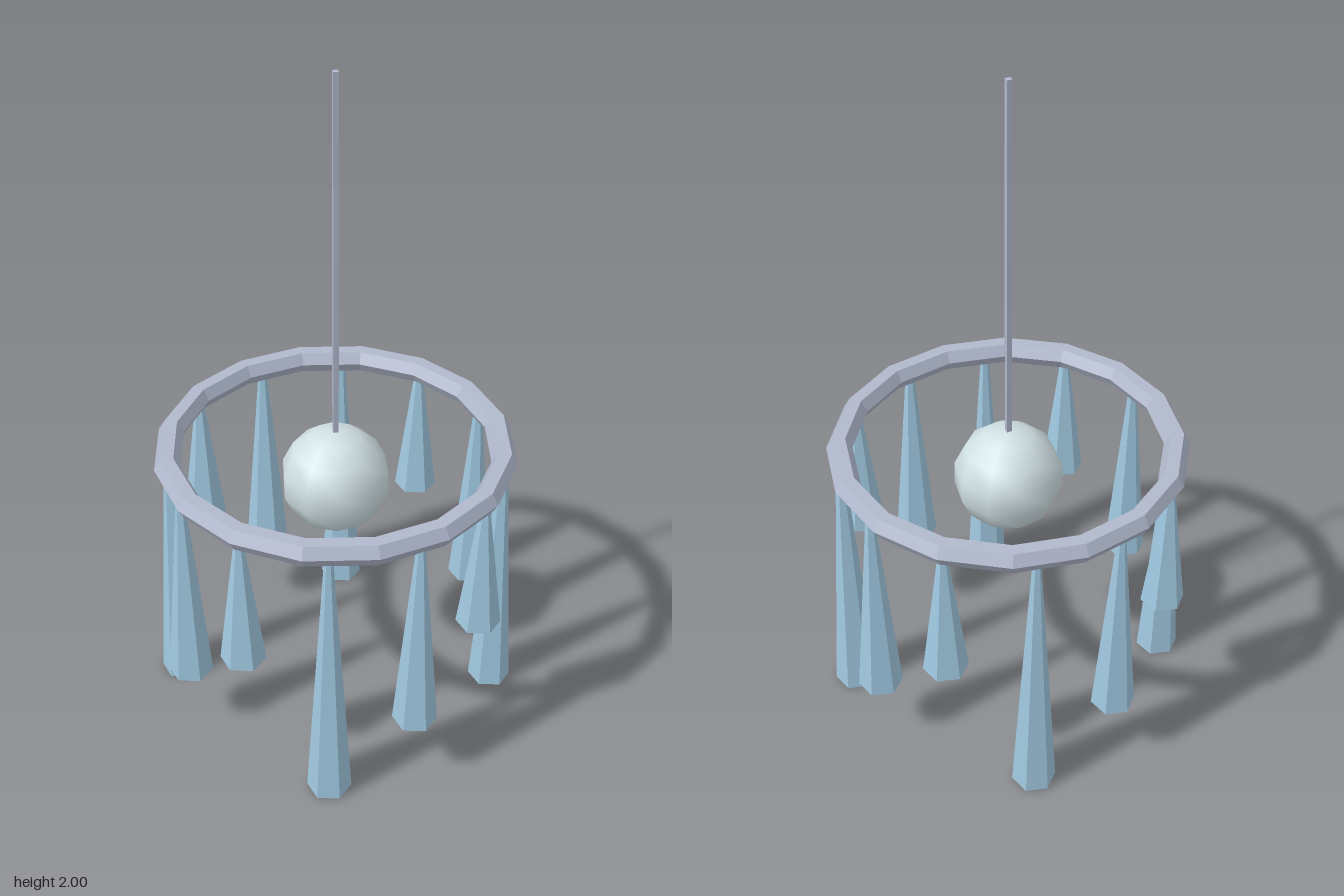
import * as THREE from 'three';

const material = (name, color, flatShading) => {
  const m = new THREE.MeshStandardMaterial({ color, flatShading });
  m.name = name;
  return m;
};

export function createModel() {
  const model = new THREE.Group();
  model.name = 'chandelier';
  const metal = material('brushed metal', 0xb0b8cc, true);
  const glass = material('pale glass', 0xd0e0e4, false);
  const ice = material('ice blue', 0xa0c8e0, true);

  const unit = 2 / 3.7; // overall height scaled to 2
  const ringY = 1.6 * unit;
  const ringRadius = 0.9 * unit;

  const add = (name, geometry, mat, x, y, z, parent = model) => {
    const mesh = new THREE.Mesh(geometry, mat);
    mesh.name = name;
    mesh.position.set(x, y, z);
    parent.add(mesh);
    return mesh;
  };

  // Hanging rod, square in section
  add('rod', new THREE.CylinderGeometry(0.02 * unit, 0.02 * unit, 2 * unit, 4), metal, 0, 2.7 * unit, 0);

  // Hoop with a hexagonal section
  const hoop = new THREE.TorusGeometry(ringRadius, 0.07 * unit, 6, 16).rotateX(Math.PI / 2);
  add('ring', hoop, metal, 0, ringY, 0);

  // Glowing globe
  const globe = new THREE.SphereGeometry(0.3 * unit, 10, 7).rotateY(Math.PI / 2);
  add('globe', globe, glass, 0, 1.4 * unit, 0);

  // Twelve hexagonal drops in three repeating lengths
  const drops = new THREE.Group();
  drops.name = 'drops';
  model.add(drops);
  for (let i = 0; i < 12; i++) {
    const angle = (i / 12) * Math.PI * 2;
    const length = (0.8 + 0.4 * (i % 3)) * unit;
    const geometry = new THREE.CylinderGeometry(0.02 * unit, 0.12 * unit, length, 6);
    add('drop', geometry, ice, Math.cos(angle) * ringRadius, ringY - length / 2, Math.sin(angle) * ringRadius, drops);
  }
  return model;
}
